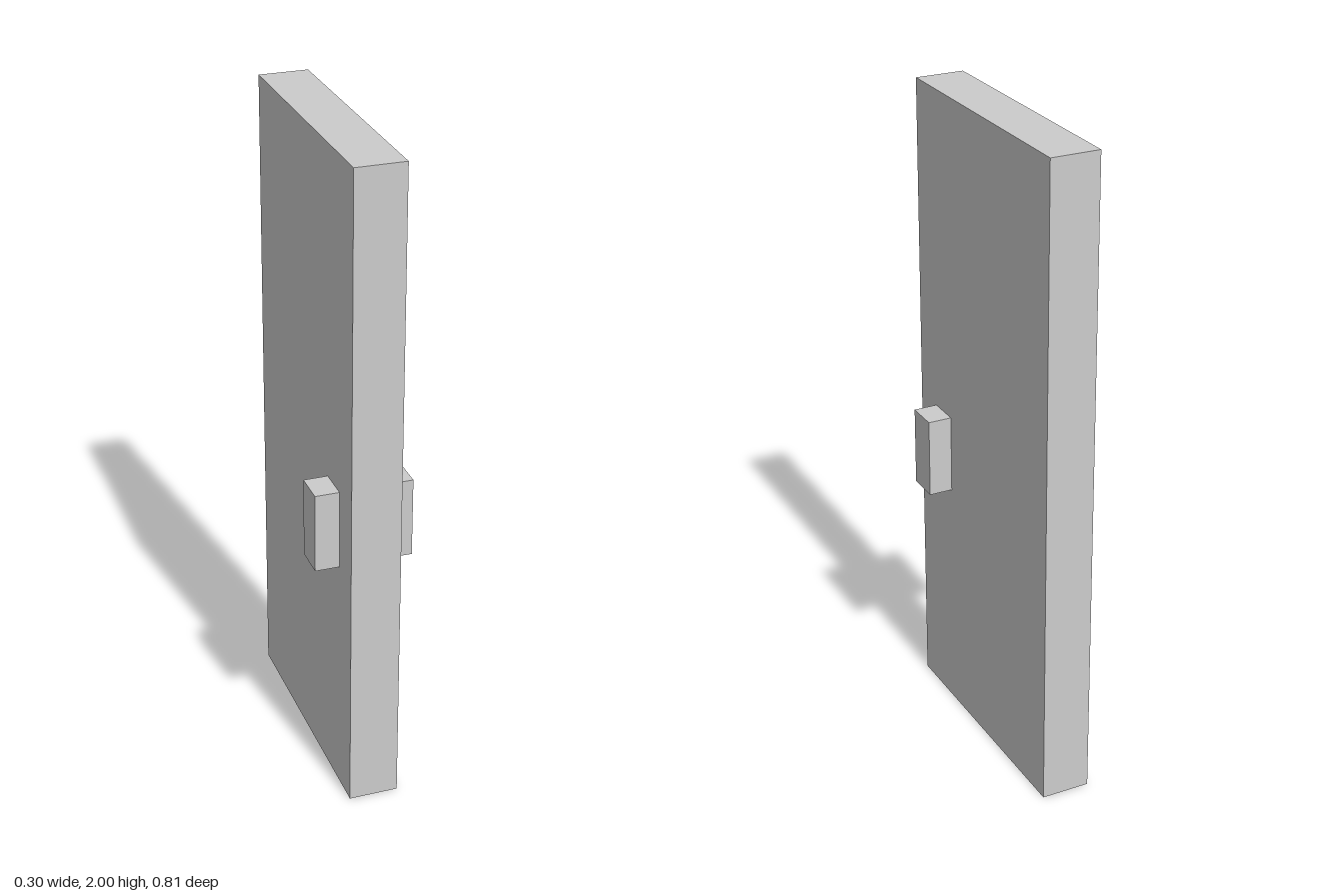
import * as THREE from 'three';

const HALF_THICKNESS = 0.075;
const HANDLE_REACH = 0.148;

export function createModel() {
  const model = new THREE.Group();
  model.name = 'door';
  const material = new THREE.MeshStandardMaterial({ color: 0xcccccc, flatShading: true });

  const addBox = (name, size, position) => {
    const mesh = new THREE.Mesh(new THREE.BoxGeometry(...size), material);
    mesh.name = name;
    mesh.position.set(...position);
    model.add(mesh);
  };

  // Door slab
  addBox('doorPanel', [HALF_THICKNESS * 2, 2, 0.814], [0, 1, 0]);

  // One block handle on each face of the slab
  const depth = HANDLE_REACH - HALF_THICKNESS;
  for (const [name, side] of [['leftHandle', 1], ['rightHandle', -1]]) {
    addBox(name, [depth, 0.245, 0.102], [side * (HALF_THICKNESS + depth / 2), 0.8775, 0.254]);
  }

  return model;
}
